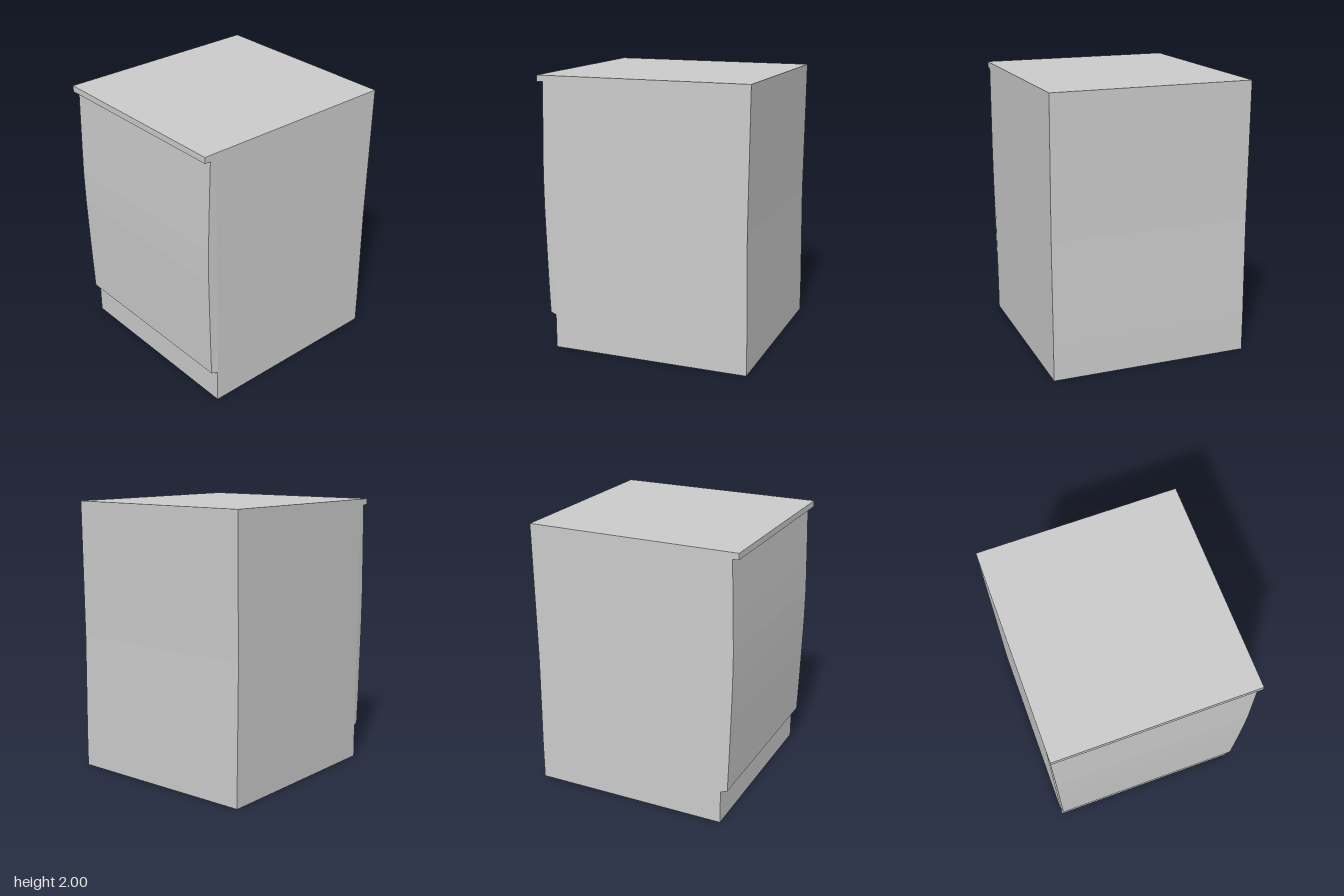
import * as THREE from 'three';

const W = 0.728;   // half width
const D = 0.78;    // half depth
const F = 0.685;   // front of the carcass and plinth
const H = 2;
const LIP = 1.955; // underside of the worktop lip
const BASE = 0.25; // top of the plinth

const material = new THREE.MeshStandardMaterial({
  color: 0xcccccc, flatShading: true, side: THREE.DoubleSide,
});

// Skin between successive rows of points [x, y, z]; rows run left to right seen from outside
function skin(name, rows) {
  const pos = [];
  for (let i = 0; i < rows.length - 1; i++) {
    for (let j = 0; j < rows[i].length - 1; j++) {
      const a = rows[i][j], b = rows[i][j + 1];
      const c = rows[i + 1][j + 1], d = rows[i + 1][j];
      pos.push(...a, ...b, ...c, ...a, ...c, ...d);
    }
  }
  const geo = new THREE.BufferGeometry();
  geo.setAttribute('position', new THREE.Float32BufferAttribute(pos, 3));
  geo.computeVertexNormals();
  const mesh = new THREE.Mesh(geo, material);
  mesh.name = name;
  return mesh;
}

export function createModel() {
  const group = new THREE.Group();
  group.name = 'cabinet';

  // Sides and back: open-bottomed shell, the back bowing slightly inwards
  const shell = [];
  for (const [y, back] of [[0, D], [0.26, D], [0.6, 0.775], [1.0, 0.77], [1.5, 0.775], [H, D]]) {
    shell.push([[W, y, F], [W, y, -back], [-W, y, -back], [-W, y, F]]);
  }
  group.add(skin('carcass', shell));

  // Recessed plinth
  group.add(skin('plinth', [0, BASE].map((y) => [[-W, y, F], [W, y, F]])));

  // Bowed door with bevelled sides and a sloping lower edge: [y, half width, z]
  const profile = [
    [0.262, 0.718, 0.732], [0.5, 0.72, 0.74], [0.8, 0.721, 0.748], [1.05, 0.722, 0.754],
    [1.3, 0.723, 0.755], [1.55, 0.724, 0.748], [1.75, 0.725, 0.742], [LIP, 0.726, 0.735],
  ];
  const door = [[[-W, BASE, F], [-W, BASE, F], [W, BASE, F], [W, BASE, F]]];
  for (const [y, w, z] of profile) {
    door.push([[-W, y, F], [-w, y, z], [w, y, z], [W, y, F]]);
  }
  group.add(skin('door', door));

  // Worktop: lip underside, lip face, then the top surface
  group.add(skin('worktop', [
    [[-W, LIP, 0.735], [W, LIP, 0.735]],
    [[-W, LIP, D], [W, LIP, D]],
    [[-W, H, D], [W, H, D]],
    [[-W, H, -D], [W, H, -D]],
  ]));

  // Ends of the lip
  for (const s of [1, -1]) {
    const end = skin(s > 0 ? 'leftLipEnd' : 'rightLipEnd', [LIP, H].map((y) => {
      const row = [[s * W, y, D], [s * W, y, F]];
      return s > 0 ? row : row.reverse();
    }));
    group.add(end);
  }
  return group;
}
